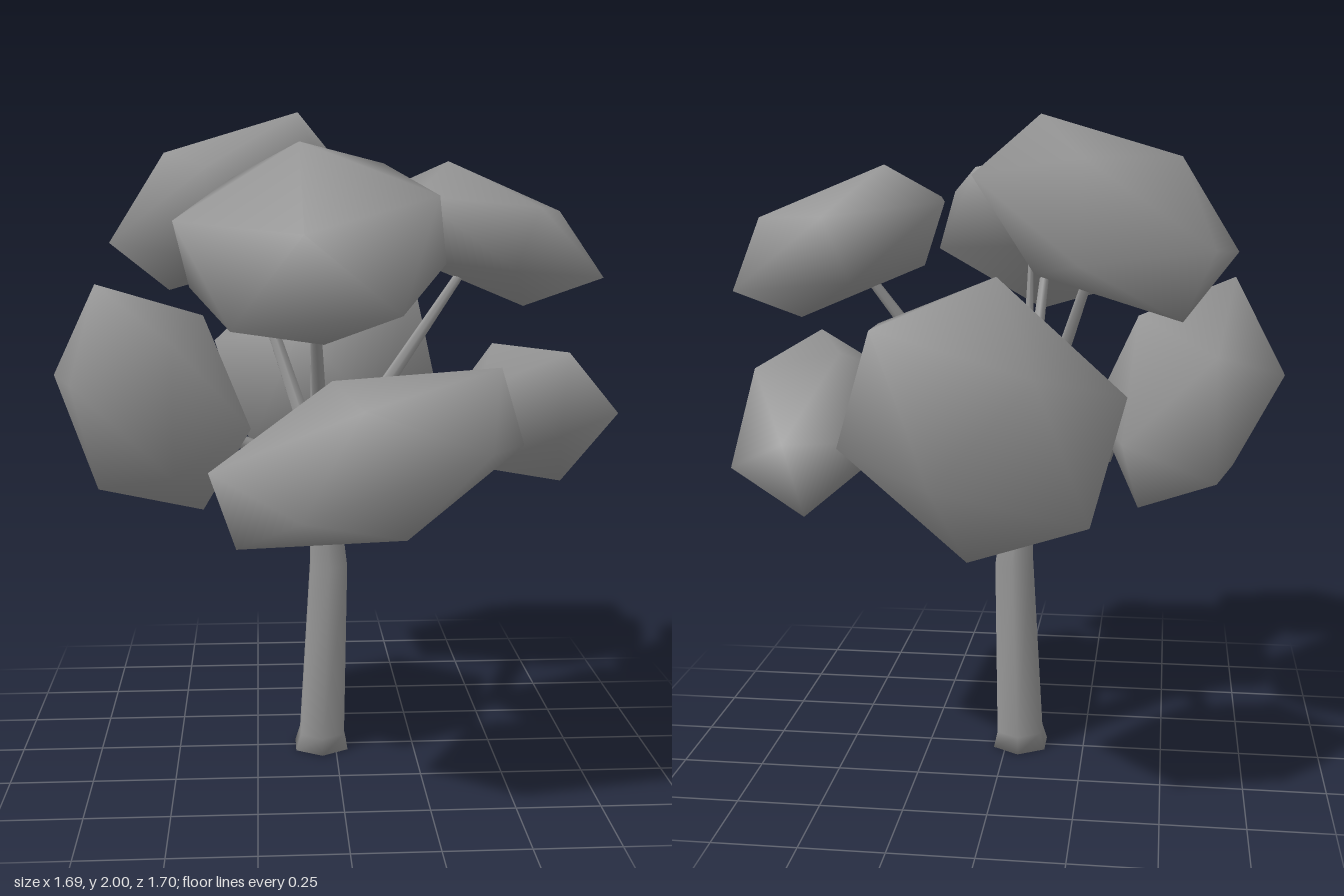
import * as THREE from 'three';
import { mergeVertices } from 'three/addons/utils/BufferGeometryUtils.js';
import { ConvexGeometry } from 'three/addons/geometries/ConvexGeometry.js';

const V = (p) => new THREE.Vector3(...p);
const PHI = (1 + Math.sqrt(5)) / 2;

// Stretched icosahedron given by the three corners of its outer face;
// the other corners follow from symmetry.
function clumpGeometry(corners) {
  const [a, b, c] = corners.map(V);
  const across = (p, q, r) => p.clone().add(q).divideScalar(PHI).sub(r);
  const half = [a, b, c, across(b, c, a), across(a, c, b), across(a, b, c)];
  const hull = new ConvexGeometry([...half, ...half.map((v) => v.clone().negate())]);
  hull.deleteAttribute('normal');
  const geometry = mergeVertices(hull, 1e-4);
  geometry.computeVertexNormals();
  return geometry;
}

// Six-sided trunk lofted through rings of [x, y, z, radius]
function trunkGeometry(rings, sides) {
  const pos = [], idx = [];
  for (const [x, y, z, r] of rings) {
    for (let i = 0; i < sides; i++) {
      const t = (i / sides) * Math.PI * 2;
      pos.push(x + Math.sin(t) * r, y, z + Math.cos(t) * r);
    }
  }
  for (let k = 0; k < rings.length - 1; k++) {
    for (let i = 0; i < sides; i++) {
      const a = k * sides + i, b = k * sides + ((i + 1) % sides);
      idx.push(a, b, b + sides, a, b + sides, a + sides);
    }
  }
  // flat base
  for (let i = 1; i < sides - 1; i++) idx.push(0, i + 1, i);
  const g = new THREE.BufferGeometry();
  g.setAttribute('position', new THREE.Float32BufferAttribute(pos, 3));
  g.setIndex(idx);
  g.computeVertexNormals();
  return g;
}

// Tapered branch between two points
function branchMesh(from, to, material) {
  const dir = to.clone().sub(from);
  const g = new THREE.CylinderGeometry(0.014, 0.03, dir.length(), 6);
  const mesh = new THREE.Mesh(g, material);
  mesh.position.copy(from).addScaledVector(dir, 0.5);
  mesh.quaternion.setFromUnitVectors(new THREE.Vector3(0, 1, 0), dir.normalize());
  return mesh;
}

const CLUMPS = [
  { name: 'upperFront', at: [-0.09, 1.63, 0.475],
    face: [[-0.028, 0.03, 0.263], [-0.03, 0.268, -0.07], [0.334, 0.125, 0.09]] },
  { name: 'upperRight', at: [-0.32, 1.72, -0.24],
    face: [[-0.2, 0.16, 0.115], [0.066, 0.16, -0.22], [0.21, 0.28, 0.16]] },
  { name: 'upperLeft', at: [0.48, 1.63, -0.11],
    face: [[-0.126, 0.225, 0.022], [0.1, 0.09, 0.34], [0.24, 0.072, -0.046]] },
  { name: 'lowerRight', at: [-0.555, 1.15, 0.145],
    face: [[-0.295, 0.072, -0.075], [-0.19, 0.1, 0.355], [-0.145, 0.355, 0.1]] },
  { name: 'lowerFront', at: [0.06, 1.055, 0.57],
    face: [[0.3, 0.055, 0.235], [-0.19, -0.11, 0.278], [-0.024, 0.16, 0.183]] },
  { name: 'lowerLeft', at: [0.605, 1.08, -0.035],
    face: [[0.19, -0.11, -0.253], [0.235, 0.03, 0.223], [0.16, 0.162, -0.074]] },
  { name: 'lowerBack', at: [0, 1.185, -0.585],
    face: [[0.1, -0.125, -0.267], [-0.165, 0.16, -0.24], [0.26, 0.27, -0.19]] },
];

export function createModel() {
  const tree = new THREE.Group();
  tree.name = 'tree';
  const grey = new THREE.MeshStandardMaterial({ color: 0x969696 });
  grey.name = 'grey';

  // Trunk with flared foot, slight bend and a long thin tip
  const trunk = new THREE.Mesh(trunkGeometry([
    [-0.045, 0, 0.005, 0.095],
    [-0.043, 0.05, 0.006, 0.08],
    [-0.022, 0.61, 0.02, 0.066],
    [-0.038, 0.88, 0.038, 0.046],
    [-0.06, 1.2, 0.055, 0.022],
    [-0.07, 1.72, 0.068, 0.002],
  ], 6), grey);
  trunk.name = 'trunk';
  tree.add(trunk);

  // Leaf clumps, each carried by a branch from the fork
  const fork = new THREE.Vector3(-0.04, 0.89, 0.035);
  for (const { name, at, face } of CLUMPS) {
    const clump = new THREE.Mesh(clumpGeometry(face), grey);
    clump.name = name + 'LeafClump';
    clump.position.set(...at);
    const branch = branchMesh(fork, fork.clone().lerp(V(at), 0.92), grey);
    branch.name = name + 'Branch';
    tree.add(clump, branch);
  }
  return tree;
}
